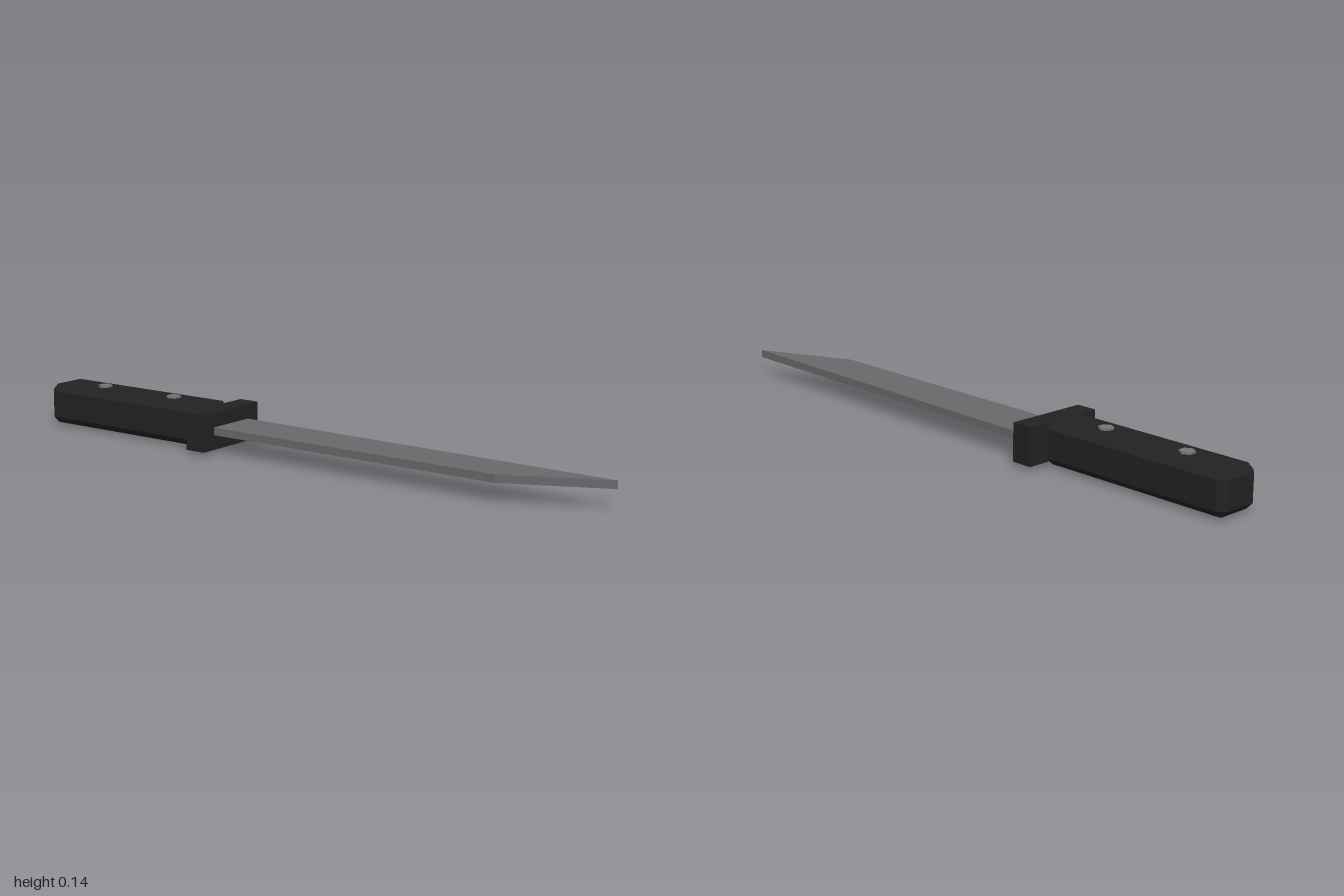
import * as THREE from 'three';
import { ConvexGeometry } from 'three/addons/geometries/ConvexGeometry.js';

// Box centred on the origin with every edge chamfered by c
function chamferedBox(w, h, d, c) {
  const pts = [];
  for (const sx of [-1, 1]) for (const sy of [-1, 1]) for (const sz of [-1, 1]) {
    for (let axis = 0; axis < 3; axis++) {
      const p = [w / 2, h / 2, d / 2].map((v, i) => (i === axis ? v : v - c));
      pts.push(new THREE.Vector3(sx * p[0], sy * p[1], sz * p[2]));
    }
  }
  return new ConvexGeometry(pts);
}

export function createModel() {
  const model = new THREE.Group();
  const black = new THREE.MeshStandardMaterial({ name: 'blackGrip', color: 0x222222 });
  const steel = new THREE.MeshStandardMaterial({ name: 'darkSteel', color: 0x69696b });
  const rivetSteel = new THREE.MeshStandardMaterial({ name: 'rivetSteel', color: 0x737777 });
  const midY = 0.071;

  const add = (name, geometry, material, x, y, z) => {
    const mesh = new THREE.Mesh(geometry, material);
    mesh.name = name;
    mesh.position.set(x, y, z);
    model.add(mesh);
    return mesh;
  };

  // Grip and guard
  add('handle', chamferedBox(0.655, 0.128, 0.146, 0.021), black, -0.6725, midY, 0);
  add('guard', new THREE.BoxGeometry(0.068, 0.116, 0.262), black, -0.324, midY, 0);

  // Hexagonal rivets running through the grip
  [-0.816, -0.523].forEach((x, i) => {
    add('rivet' + (i + 1), new THREE.CylinderGeometry(0.023, 0.023, 0.141, 6).toNonIndexed(), rivetSteel, x, midY, 0)
      .geometry.computeVertexNormals();
  });

  // Flat blade: outline in x and -z, extruded upward
  const outline = new THREE.Shape([
    [-0.32, -0.082], [0.7, -0.082], [1, 0.058], [-0.32, 0.083],
  ].map(([x, y]) => new THREE.Vector2(x, y)));
  const blade = new THREE.ExtrudeGeometry(outline, { depth: 0.024, bevelEnabled: false });
  blade.rotateX(-Math.PI / 2);
  add('blade', blade, steel, 0, midY - 0.012, 0);

  return model;
}
